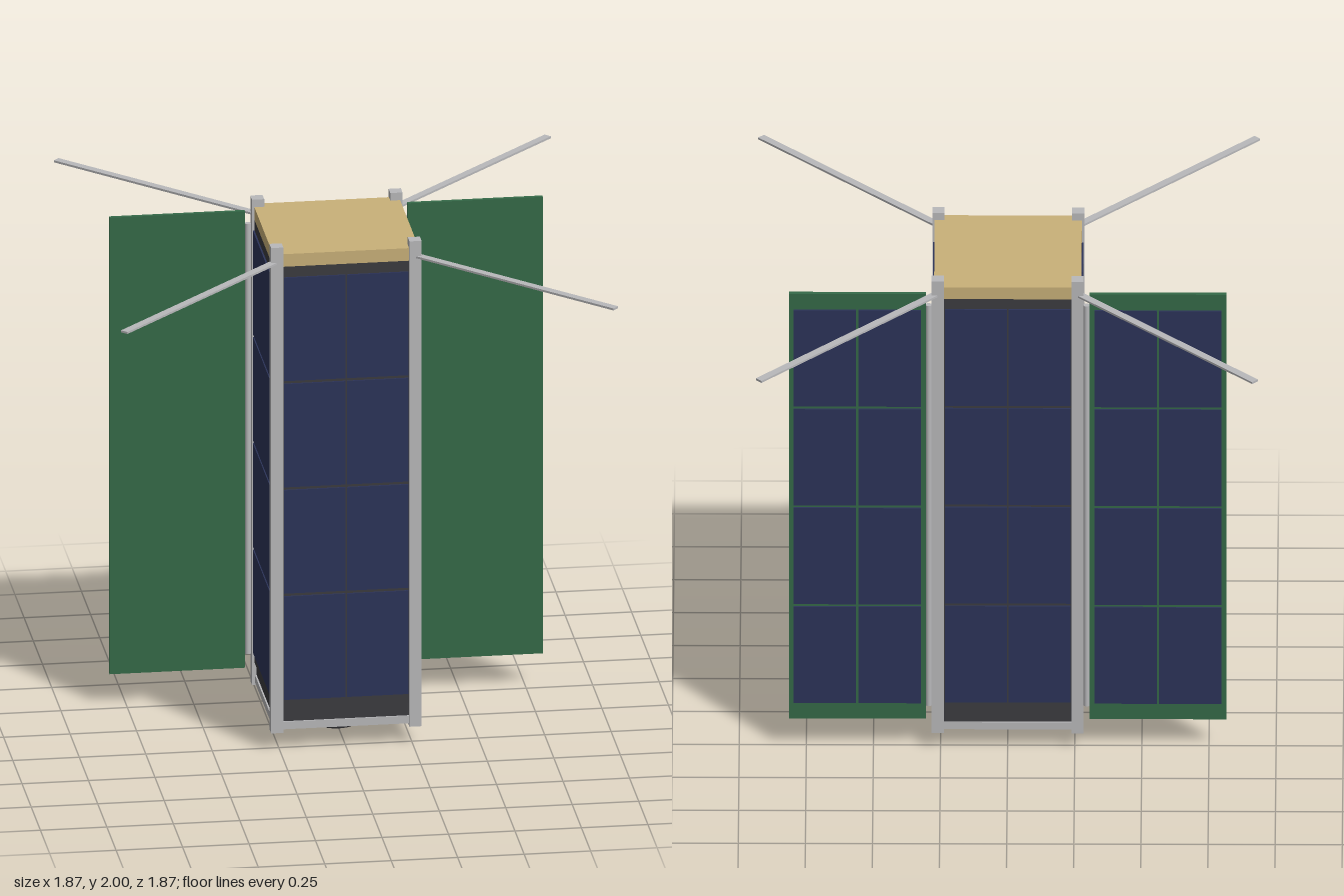
import * as THREE from 'three';

const mat = (name, color) => {
  const m = new THREE.MeshStandardMaterial({ color });
  m.name = name;
  return m;
};

export function createModel() {
  const model = new THREE.Group();
  model.name = 'smallSatellite';
  const metal = mat('aluminium', 0xb9b9bb);
  const dark = mat('darkFrame', 0x3c3c40);
  const blue = mat('solarCellBlue', 0x2c3459);
  const gold = mat('goldFoil', 0xc9b179);
  const green = mat('boardGreen', 0x356a48);
  const black = mat('lensBlack', 0x2a2a2d);

  const add = (parent, name, geometry, material, x = 0, y = 0, z = 0) => {
    const mesh = new THREE.Mesh(geometry, material);
    mesh.name = name;
    mesh.position.set(x, y, z);
    parent.add(mesh);
    return mesh;
  };
  const box = (w, h, d) => new THREE.BoxGeometry(w, h, d);

  // square block with rounded vertical corners, from y0 to y1
  const block = (name, half, y0, y1, material) => {
    const r = 0.035, a = half - r;
    const s = new THREE.Shape();
    s.absarc(a, a, r, 0, Math.PI / 2);
    s.absarc(-a, a, r, Math.PI / 2, Math.PI);
    s.absarc(-a, -a, r, Math.PI, Math.PI * 1.5);
    s.absarc(a, -a, r, Math.PI * 1.5, Math.PI * 2);
    const g = new THREE.ExtrudeGeometry(s, { depth: y1 - y0, bevelEnabled: false, curveSegments: 4 });
    g.rotateX(-Math.PI / 2);
    add(model, name, g, material, 0, y0, 0);
  };
  block('bottomPlate', 0.272, 0.08, 0.11, metal);
  block('body', 0.266, 0.11, 1.92, dark);
  block('topCover', 0.274, 1.92, 1.97, gold);

  // two columns by four rows of solar cells
  const cellGrid = (parent, pitch, width, z) => {
    for (let row = 0; row < 4; row++) {
      for (const s of [-1, 1]) {
        add(parent, 'solarCell', box(width, 0.411, 0.008), blue, s * pitch / 2, 0.405 + row * 0.4225, z);
      }
    }
  };

  // four body sides: backing board with cells
  for (let i = 0; i < 4; i++) {
    const side = new THREE.Group();
    side.name = 'sidePanel';
    side.rotation.y = i * Math.PI / 2;
    add(side, 'backingBoard', box(0.474, 1.76, 0.012), dark, 0, 1.04, 0.268);
    cellGrid(side, 0.237, 0.231, 0.276);
    model.add(side);
  }

  // corner rails and flat diagonal antennas
  for (const sx of [-1, 1]) {
    for (const sz of [-1, 1]) {
      add(model, 'cornerRail', box(0.046, 1.93, 0.046), metal, sx * 0.26, 1.035, sz * 0.26);
      const antenna = add(model, 'antenna', box(0.94, 0.008, 0.03), metal, sx * 0.592, 1.936, sz * 0.592);
      antenna.rotation.y = -Math.atan2(sz, sx);
    }
  }

  // deployed wings with cells on the back
  for (const s of [-1, 1]) {
    const wing = new THREE.Group();
    wing.name = s > 0 ? 'leftWing' : 'rightWing';
    wing.position.x = s * 0.56;
    add(wing, 'wingBoard', box(0.51, 1.815, 0.016), green, 0, 1.0375, -0.273);
    cellGrid(wing, 0.241, 0.233, -0.284);
    model.add(wing);
    add(model, 'hinge', new THREE.CylinderGeometry(0.012, 0.012, 1.71, 12), metal, s * 0.294, 1.04, -0.272);
  }

  // camera under the body
  add(model, 'cameraHousing', new THREE.CylinderGeometry(0.107, 0.107, 0.066, 32), dark, 0, 0.05, 0);
  add(model, 'cameraLens', new THREE.CylinderGeometry(0.078, 0.078, 0.03, 32), black, 0, 0.015, 0);

  return model;
}
